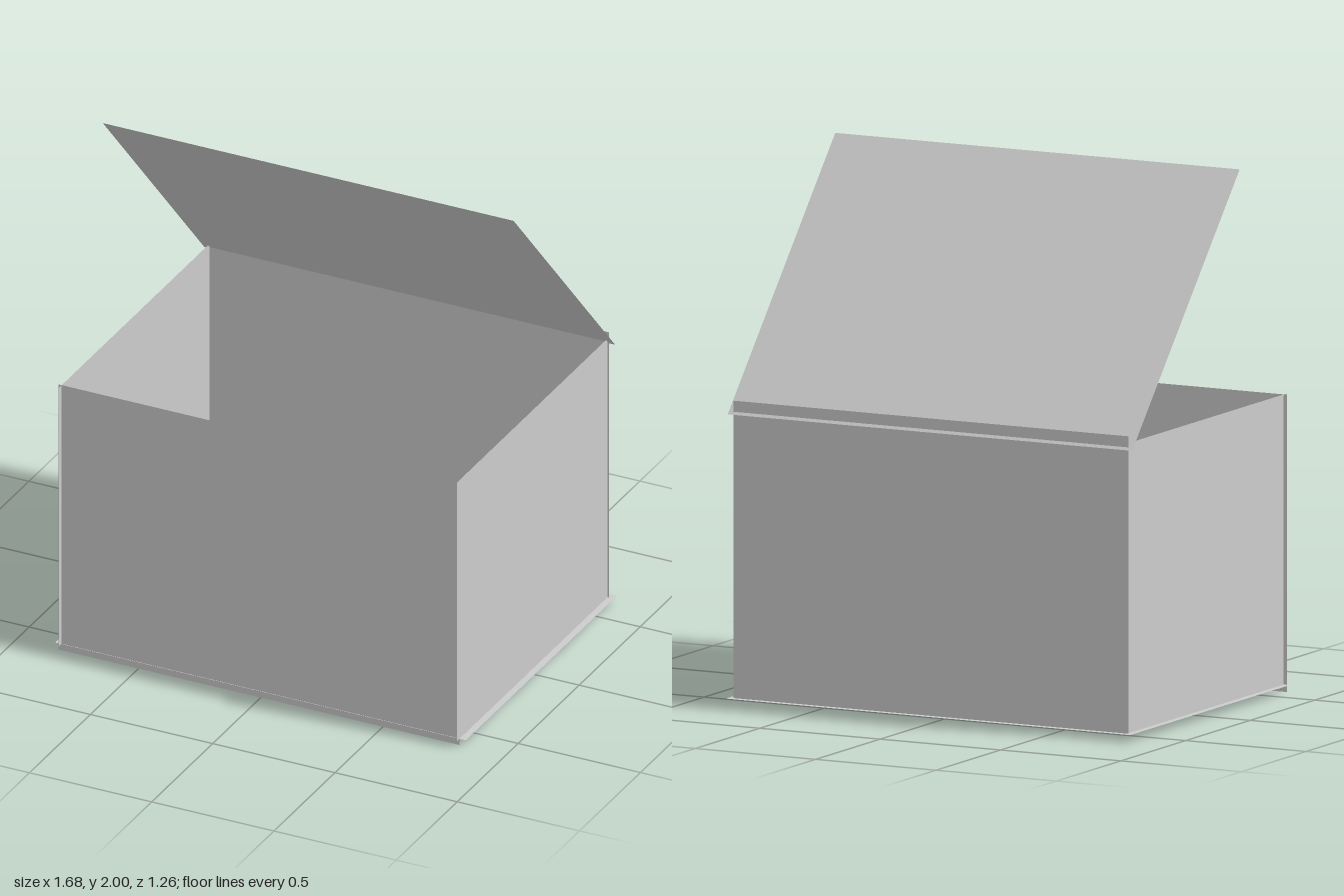
import * as THREE from 'three';

// Open box made of thin sheets, with a hinged lid tilted up at the back.
export function createModel() {
  const group = new THREE.Group();
  const grey = new THREE.MeshStandardMaterial({ color: 0xcccccc, side: THREE.DoubleSide });
  grey.name = 'plain grey';

  const sheet = (name, width, height, position, rotation = [0, 0, 0]) => {
    const mesh = new THREE.Mesh(new THREE.PlaneGeometry(width, height), grey);
    mesh.name = name;
    mesh.position.set(...position);
    mesh.rotation.set(...rotation);
    group.add(mesh);
  };

  // Front reaches the ground; back rises slightly above the other walls
  sheet('frontPanel', 1.64, 1.104, [-0.007, 0.552, 0.606]);
  sheet('backPanel', 1.64, 1.104, [0, 0.579, -0.606], [0, Math.PI, 0]);

  // Side walls
  sheet('leftPanel', 1.237, 1.077, [0.814, 0.5655, 0.0115], [0, Math.PI / 2, 0]);
  sheet('rightPanel', 1.237, 1.077, [-0.814, 0.5655, 0.0115], [0, -Math.PI / 2, 0]);

  // Floor overhangs the walls a little
  sheet('floor', 1.68, 1.238, [0, 0.027, -0.011], [-Math.PI / 2, 0, 0]);

  // Lid from its lower back edge to its raised free edge
  const [y0, z0, y1, z1] = [1.08, -0.615, 2, 0.217];
  sheet('lid', 1.68, Math.hypot(y1 - y0, z1 - z0), [0, (y0 + y1) / 2, (z0 + z1) / 2],
    [Math.atan2(z1 - z0, y1 - y0), 0, 0]);

  return group;
}
